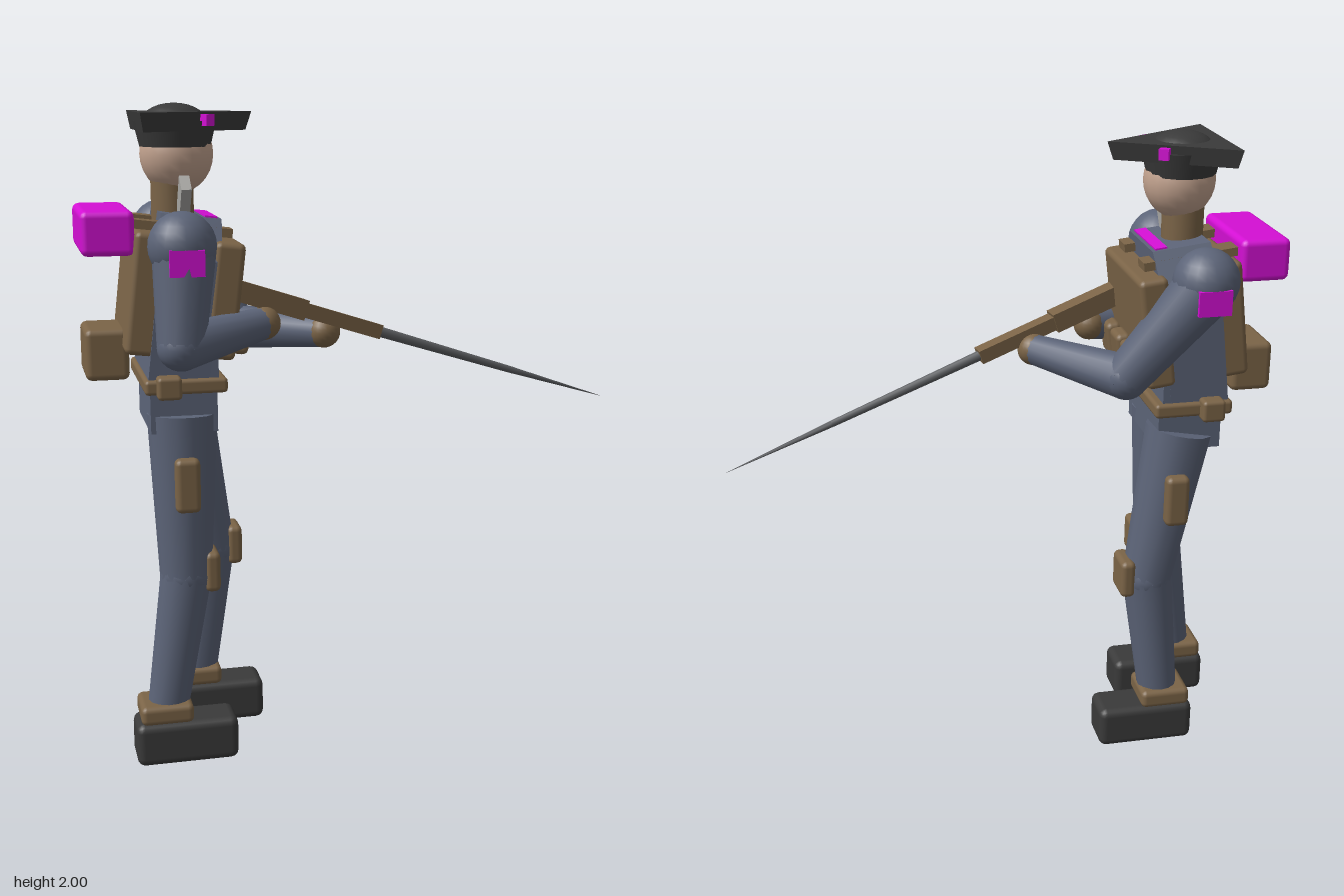
import * as THREE from 'three';
import { RoundedBoxGeometry } from 'three/addons/geometries/RoundedBoxGeometry.js';

const mat = (name, color) => {
  const m = new THREE.MeshStandardMaterial({ color });
  m.name = name;
  return m;
};

export function createModel() {
  const model = new THREE.Group();
  model.name = 'soldier';
  const cloth = mat('blueCloth', 0x5c6478);
  const leather = mat('brownLeather', 0x7b6447);
  const black = mat('blackFelt', 0x3a3a3a);
  const accent = mat('magentaAccent', 0xd40fd4);
  const skin = mat('skin', 0xc3a38f);
  const steel = mat('darkSteel', 0x5e6063);
  const blade = mat('paleGrey', 0xa6a5a2);
  const MID = -0.018; // body's symmetry plane in z
  const LEAN = -0.12; // forward lean of the torso

  const add = (name, geo, material, pos = [0, 0, 0], rot = [0, 0, 0]) => {
    const m = new THREE.Mesh(geo, material);
    m.name = name;
    m.position.set(...pos);
    m.rotation.set(...rot);
    model.add(m);
    return m;
  };
  const box = (name, size, material, pos, rot) =>
    add(name, new THREE.BoxGeometry(...size), material, pos, rot);
  const soft = (name, size, material, pos, rot, r = 0.018) =>
    add(name, new RoundedBoxGeometry(...size, 2, Math.min(r, Math.min(...size) * 0.45)), material, pos, rot);
  const ball = (name, r, material, pos, scale = [1, 1, 1]) =>
    add(name, new THREE.SphereGeometry(r, 20, 14), material, pos).scale.set(...scale);
  // Tapered cylinder from a to b
  const limb = (name, a, b, ra, rb, material, sides = 14) => {
    const A = new THREE.Vector3(...a), B = new THREE.Vector3(...b);
    const dir = B.clone().sub(A);
    const m = add(name, new THREE.CylinderGeometry(rb, ra, dir.length(), sides), material);
    m.position.copy(A).add(B).multiplyScalar(0.5);
    m.quaternion.setFromUnitVectors(new THREE.Vector3(0, 1, 0), dir.normalize());
    return m;
  };

  // Head and neck
  ball('head', 0.11, skin, [-0.558, 1.853, MID], [1, 1.06, 0.93]);
  add('neck', new THREE.CylinderGeometry(0.064, 0.064, 0.2, 16), leather, [-0.574, 1.68, MID]);

  // Three-cornered hat
  add('hatBand', new THREE.CylinderGeometry(0.124, 0.106, 0.075, 16), black, [-0.561, 1.912, MID]);
  ball('hatCrown', 0.101, black, [-0.563, 1.94, MID], [1, 0.6, 1]);
  const brim = new THREE.CylinderGeometry(0.235, 0.216, 0.055, 3).toNonIndexed();
  brim.computeVertexNormals();
  add('hatBrim', brim, black, [-0.566, 1.948, MID], [0, Math.PI / 2, 0]);
  for (const s of [1, -1])
    box('hatCockade', [0.03, 0.033, 0.03], accent, [-0.478, 1.952, MID + s * 0.097], [0, s * Math.PI / 6, 0]);

  // Torso, extruded along x from its outline seen from the front of the body
  const outline = new THREE.Shape();
  [[-0.2, -0.25], [0.2, -0.25], [0.205, 0.13], [0.125, 0.25], [-0.125, 0.25], [-0.205, 0.13]]
    .forEach(([x, y], i) => (i ? outline.lineTo(x, y) : outline.moveTo(x, y)));
  const torso = new THREE.ExtrudeGeometry(outline, { depth: 0.18, bevelEnabled: false });
  torso.translate(0, 0, -0.09).rotateY(Math.PI / 2).rotateZ(LEAN);
  add('torso', torso, cloth, [-0.565, 1.43, MID]);
  soft('chestPlate', [0.09, 0.345, 0.415], leather, [-0.45, 1.433, MID], [0, 0, LEAN]);
  soft('backPlate', [0.09, 0.36, 0.39], leather, [-0.682, 1.46, MID], [0, 0, LEAN]);
  box('collarStripe', [0.037, 0.008, 0.23], accent, [-0.475, 1.672, MID], [0, 0, LEAN]);
  for (const s of [1, -1])
    box('shoulderStrap', [0.295, 0.026, 0.068], leather, [-0.563, 1.643, MID + s * 0.108], [0, 0, LEAN]);
  for (const z of [0.115, 0, -0.115])
    soft('chestPouch', [0.05, 0.11, 0.095], leather, [-0.4, 1.325, z], [0, 0, LEAN]);
  box('collarFeather', [0.03, 0.15, 0.064], blade, [-0.553, 1.715, 0.086], [0.62, 0, 0]);

  // Pack on the back
  soft('bedroll', [0.155, 0.13, 0.36], accent, [-0.783, 1.636, MID], [0, 0, 0], 0.02);
  soft('packPouch', [0.13, 0.155, 0.21], leather, [-0.79, 1.272, MID], [0, 0, 0], 0.02);

  // Belt and hips
  box('waist', [0.2, 0.09, 0.4], cloth, [-0.575, 1.225, MID]);
  soft('belt', [0.245, 0.045, 0.43], leather, [-0.572, 1.188, MID], [0, 0, 0], 0.012);
  box('hips', [0.2, 0.13, 0.33], cloth, [-0.575, 1.105, MID]);
  for (const s of [1, -1])
    soft('beltPouch', [0.072, 0.068, 0.06], leather, [-0.625, 1.19, MID + s * 0.22], [0, 0, 0], 0.012);

  // Shoulders
  for (const s of [1, -1]) {
    const z = MID + s * 0.238;
    ball('shoulder', 0.1, cloth, [-0.578, 1.603, z]);
    box('shoulderPatch', [0.1, 0.075, 0.015], accent, [-0.577, 1.563, MID + s * 0.33]);
  }

  // Arms: shoulder, elbow, hand
  const arms = {
    right: [[-0.575, 1.58, 0.225], [-0.595, 1.32, 0.27], [-0.33, 1.36, 0.14]],
    left: [[-0.57, 1.58, -0.265], [-0.36, 1.3, -0.2], [-0.13, 1.315, 0.06]],
  };
  for (const [side, [sh, el, ha]] of Object.entries(arms)) {
    limb(side + 'UpperArm', sh, el, 0.092, 0.07, cloth);
    ball(side + 'Elbow', 0.07, cloth, el);
    limb(side + 'Forearm', el, ha, 0.07, 0.048, cloth);
    ball(side + 'Hand', 0.05, leather, ha);
  }

  // Legs: hip, knee, ankle, boot centre
  const legs = [
    { side: 'right', s: 1, hip: [-0.575, 1.09, 0.09], knee: [-0.578, 0.59, 0.112], ankle: [-0.645, 0.17, 0.122], boot: -0.593, cuff: -0.655, pouch: -0.578 },
    { side: 'left', s: -1, hip: [-0.56, 1.09, -0.126], knee: [-0.468, 0.59, -0.148], ankle: [-0.515, 0.17, -0.16], boot: -0.463, cuff: -0.525, pouch: -0.525 },
  ];
  for (const { side, s, hip, knee, ankle, boot, cuff, pouch } of legs) {
    limb(side + 'Thigh', hip, knee, 0.106, 0.08, cloth);
    ball(side + 'Knee', 0.08, cloth, knee);
    limb(side + 'Shin', knee, ankle, 0.08, 0.064, cloth);
    soft(side + 'KneePad', [0.048, 0.125, 0.12], leather, [knee[0] + 0.076, 0.603, knee[2]]);
    soft(side + 'ThighPouch', [0.075, 0.165, 0.05], leather, [pouch, 0.893, MID + s * 0.223]);
    soft(side + 'AnkleCuff', [0.162, 0.06, 0.155], leather, [cuff, 0.165, ankle[2] + s * 0.002]);
    soft(side + 'Boot', [0.315, 0.135, 0.145], black, [boot, 0.0675, ankle[2] + s * 0.003], [0, 0, 0], 0.025);
  }

  // Long gun along one line, held across the chest
  const at = x => [x, 1.322 - 0.337 * x, 0.062 - 0.173 * x];
  const along = new THREE.Vector3(1, -0.337, -0.173).normalize();
  const up = new THREE.Vector3(0, 1, 0).addScaledVector(along, -along.y).normalize();
  const basis = new THREE.Matrix4().makeBasis(along, up, along.clone().cross(up));
  const gunBox = (name, x0, x1, h, w) => {
    const m = box(name, [(x1 - x0) / along.x, h, w], leather, at((x0 + x1) / 2));
    m.quaternion.setFromRotationMatrix(basis);
  };
  gunBox('gunButt', -0.45, -0.2, 0.062, 0.055);
  gunBox('gunForestock', -0.25, 0.045, 0.044, 0.046);
  limb('gunBarrel', at(0), at(0.52), 0.017, 0.011, steel, 10);
  limb('bayonet', at(0.5), at(0.848), 0.011, 0.0005, steel, 8);

  return model;
}
